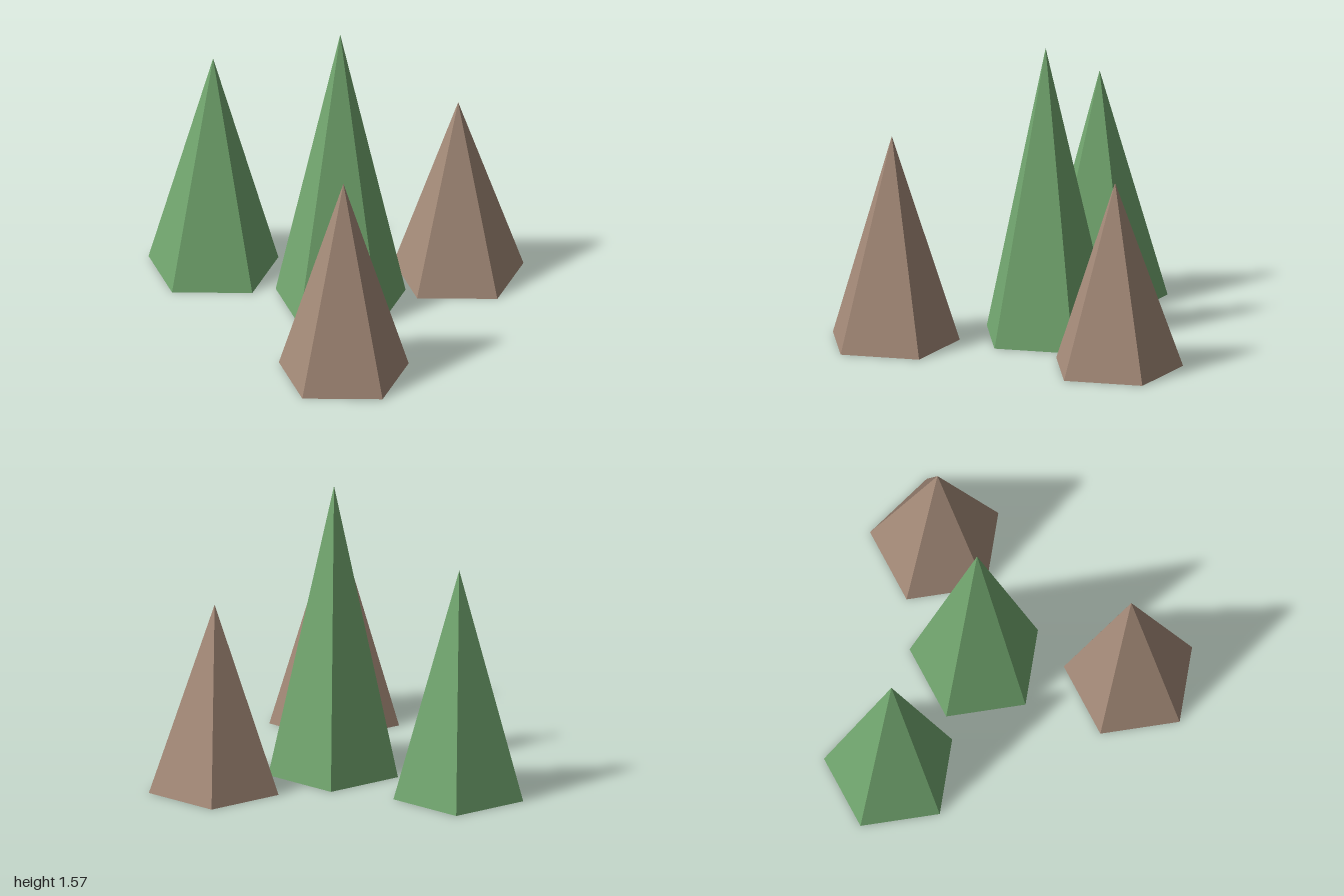
import * as THREE from 'three';

export function createModel() {
  const group = new THREE.Group();
  const green = new THREE.MeshStandardMaterial({ color: 0x73a870 });
  green.name = 'leaf green';
  const brown = new THREE.MeshStandardMaterial({ color: 0xa58b79 });
  brown.name = 'earth brown';

  // Five-sided spire standing on the ground, one corner pointing to +x
  function addSpire(name, material, x, z, height) {
    const geometry = new THREE.ConeGeometry(0.357, height, 5, 1, false, Math.PI / 2).toNonIndexed();
    geometry.computeVertexNormals(); // faceted sides
    const spire = new THREE.Mesh(geometry, material);
    spire.name = name;
    spire.position.set(x, height / 2, z);
    group.add(spire);
  }

  addSpire('rightGreenSpire', green, -0.711, 0.449, 1.235);
  addSpire('centreGreenSpire', green, -0.035, 0.111, 1.57);
  addSpire('leftBrownSpire', brown, 0.639, 0.563, 1.122);
  addSpire('backBrownSpire', brown, 0.077, -0.563, 1.01);

  return group;
}
